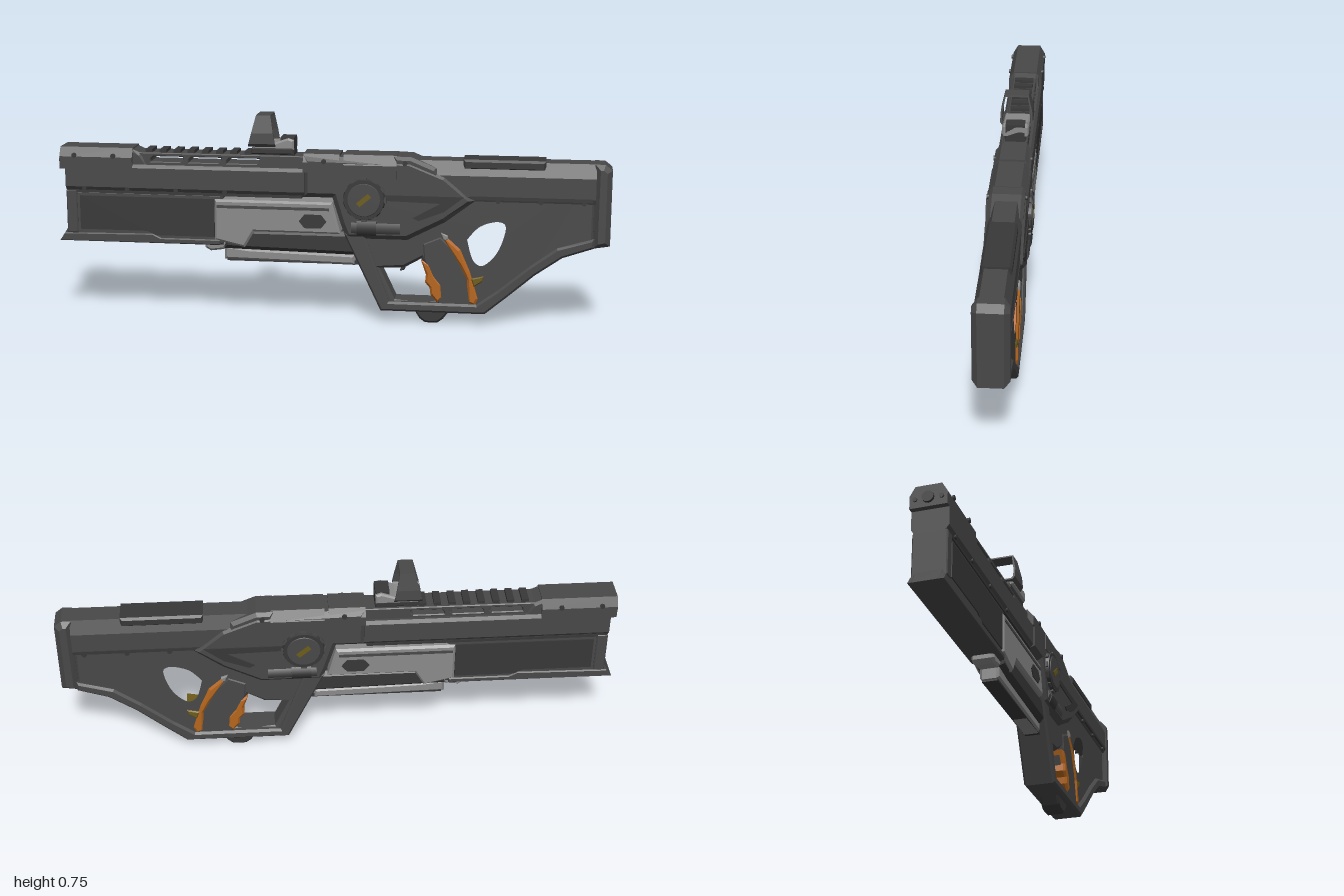
import * as THREE from 'three';

const paint = (name, color, side = THREE.FrontSide) => {
  const m = new THREE.MeshStandardMaterial({ color, side });
  m.name = name;
  return m;
};

export function createModel() {
  const body = paint('charcoal', 0x484848);
  const dark = paint('dark charcoal', 0x383838);
  const grey = paint('light grey', 0x8a8a8a);
  const orange = paint('orange', 0xb5651d);
  const olive = paint('olive', 0x6e5c1a);
  const model = new THREE.Group();

  const add = (name, geo, mat, x = 0, y = 0, z = 0) => {
    const mesh = new THREE.Mesh(geo, mat);
    mesh.name = name;
    mesh.position.set(x, y, z);
    model.add(mesh);
    return mesh;
  };
  const outline = (pts) => new THREE.Shape(pts.map((p) => new THREE.Vector2(...p)));
  const smooth = (pts) => outline(new THREE.SplineCurve(
    [...pts, pts[0]].map((p) => new THREE.Vector2(...p))).getPoints(32).slice(0, -1).map((p) => [p.x, p.y]));

  // Side profile extruded to z = -half..half, chamfered without growing the outline
  const plate = (name, pts, half, mat, bevel = 0.01, holes = []) => {
    const s = outline(pts);
    s.holes.push(...holes);
    const geo = new THREE.ExtrudeGeometry(s, {
      depth: 2 * (half - bevel), bevelEnabled: bevel > 0, bevelSize: bevel, bevelThickness: bevel,
      bevelOffset: -bevel, bevelSegments: 1, curveSegments: 8,
    });
    return add(name, geo.translate(0, 0, bevel - half), mat);
  };
  // Half cross-section [z, y] mirrored and extruded along x
  const beam = (name, half, x0, x1, mat) => {
    const pts = [...half, ...half.slice().reverse().map(([z, y]) => [-z, y])];
    const geo = new THREE.ExtrudeGeometry(outline(pts), { depth: x1 - x0, bevelEnabled: false });
    return add(name, geo.rotateY(Math.PI / 2).translate(x0, 0, 0), mat);
  };
  const box = (name, x0, x1, y0, y1, half, mat) =>
    add(name, new THREE.BoxGeometry(x1 - x0, y1 - y0, 2 * half), mat, (x0 + x1) / 2, (y0 + y1) / 2);
  const rect = (x0, x1, y0, y1) => [[x0, y0], [x1, y0], [x1, y1], [x0, y1]];
  const rod = (name, r, x0, x1, y, z, mat, sides = 12) =>
    add(name, new THREE.CylinderGeometry(r, r, x1 - x0, sides).rotateZ(Math.PI / 2), mat, (x0 + x1) / 2, y, z);
  // Thin plates mirrored on both sides
  const sidePlates = (name, pts, z, mat) => {
    for (const s of [-1, 1]) plate(name, pts, 0.004, mat, 0).position.z = s * z;
  };
  const screws = (list, z) => {
    for (const [x, y] of list) for (const s of [-1, 1])
      add('screw', new THREE.CylinderGeometry(0.009, 0.009, 0.008, 8).rotateX(Math.PI / 2), dark, x, y, s * z);
  };

  // Barrel shroud
  beam('upperShroud', [[0.05, 0.457], [0.064, 0.475], [0.064, 0.548], [0.055, 0.56]], -0.97, -0.09, body);
  beam('muzzleBlock', [[0.064, 0.54], [0.064, 0.585], [0.045, 0.618]], -0.99, -0.72, body);
  plate('muzzleBlockRamp', [[-0.73, 0.55], [-0.66, 0.55], [-0.69, 0.6], [-0.73, 0.618]], 0.052, body);
  rod('muzzleStub', 0.02, -1, -0.96, 0.572, 0, dark);
  for (const s of [-1, 1]) rod('muzzlePin', 0.008, -0.995, -0.96, 0.57, s * 0.045, dark, 8);
  plate('lowerShroud', [[-0.97, 0.46], [-0.97, 0.32], [-1, 0.27], [-0.39, 0.27], [-0.39, 0.46]], 0.054, body);
  sidePlates('shroudPanel', [[-0.92, 0.44], [-0.92, 0.315], [-0.67, 0.315], [-0.64, 0.3], [-0.42, 0.3], [-0.42, 0.44]], 0.054, dark);
  plate('shroudFoot', [[-0.98, 0.3], [-1, 0.27], [-0.4, 0.27], [-0.4, 0.29], [-0.62, 0.29], [-0.65, 0.305]], 0.06, body, 0.004);
  plate('frontPost', [[-0.97, 0.46], [-0.97, 0.3], [-0.93, 0.3], [-0.93, 0.46]], 0.06, body, 0.004);
  box('shroudSeam', -0.965, -0.1, 0.452, 0.462, 0.058, dark);
  screws([[-0.935, 0.59], [-0.79, 0.59]], 0.064);
  screws([[-0.9, 0.468], [-0.74, 0.468], [-0.56, 0.468], [-0.38, 0.468]], 0.061);

  // Vented top rail
  const slots = [-0.655, -0.515, -0.375].map((x) => outline(
    [[x, 0.57], [x + 0.11, 0.57], [x + 0.12, 0.58], [x + 0.12, 0.59], [x + 0.01, 0.59], [x, 0.58]]));
  plate('topRail', rect(-0.7, -0.09, 0.55, 0.603), 0.045, body, 0.003, slots);
  for (let i = 0; i < 11; i++) box('railTooth', -0.675 + i * 0.052, -0.65 + i * 0.052, 0.6, 0.614, 0.036, dark);

  // Reflex sight: base and hollow tapered hood
  plate('sightBase', [[-0.29, 0.605], [-0.13, 0.605], [-0.13, 0.64], [-0.15, 0.65], [-0.28, 0.64]], 0.04, dark, 0.006);
  plate('sightDeck', [[-0.28, 0.625], [-0.13, 0.625], [-0.13, 0.66], [-0.15, 0.667], [-0.2, 0.65], [-0.28, 0.645]], 0.048, grey, 0.006);
  box('sightEmitter', -0.18, -0.13, 0.635, 0.668, 0.035, dark);
  const hood = outline([[-0.05, 0], [0.05, 0], [0.06, 0.012], [0.058, 0.05], [0.044, 0.113], [-0.044, 0.113], [-0.058, 0.05], [-0.06, 0.012]]);
  hood.holes.push(outline([[-0.045, 0.006], [0.045, 0.006], [0.053, 0.014], [0.051, 0.05], [0.04, 0.107], [-0.04, 0.107], [-0.051, 0.05], [-0.053, 0.014]]));
  const hoodGeo = new THREE.ExtrudeGeometry(hood, { depth: 0.1, bevelEnabled: false }).rotateY(Math.PI / 2);
  const hp = hoodGeo.attributes.position;
  for (let i = 0; i < hp.count; i++) {
    const t = hp.getY(i) / 0.113;
    hp.setX(i, (hp.getX(i) - 0.05) * (1 - 0.48 * t) + 0.05 + 0.005 * t);
  }
  hoodGeo.computeVertexNormals();
  add('sightHood', hoodGeo, body, -0.295, 0.635);

  // Receiver with raised top cover
  plate('receiver', [[-0.095, 0.608], [-0.095, 0.457], [0.01, 0.457], [0.04, 0.36], [0.06, 0.31], [0.28, 0.31],
    [0.415, 0.38], [0.52, 0.46], [0.415, 0.55], [0.29, 0.6]], 0.067, body, 0.018);
  beam('rearSightBlock', [[0.067, 0.55], [0.067, 0.585], [0.045, 0.614]], -0.095, 0.035, body);
  beam('topCover', [[0.07, 0.52], [0.07, 0.58], [0.045, 0.614]], 0.05, 0.24, body);
  plate('coverRamp', [[0.23, 0.53], [0.4, 0.53], [0.38, 0.575], [0.29, 0.612], [0.23, 0.612]], 0.062, body, 0.012);
  sidePlates('receiverRidge', [[0.2, 0.475], [0.48, 0.475], [0.41, 0.42], [0.32, 0.385], [0.3, 0.395], [0.4, 0.45], [0.2, 0.455]], 0.067, dark);
  screws([[-0.02, 0.59], [0.27, 0.59]], 0.066);
  for (const s of [-1, 1]) {
    rod('selectorBarrel', 0.032, 0.08, 0.255, 0.352, s * 0.043, body, 8);
    rod('selectorCollar', 0.036, 0.1, 0.17, 0.352, s * 0.043, dark, 8);
  }

  // Round side caps
  for (const s of [-1, 1]) {
    const cap = new THREE.Group();
    cap.name = 'sideCap';
    cap.position.set(0.126, 0.457, s * 0.066);
    cap.rotation.y = s > 0 ? 0 : Math.PI;
    const put = (name, geo, mat, z) => {
      const m = new THREE.Mesh(geo, mat);
      m.name = name;
      m.position.z = z;
      cap.add(m);
      return m;
    };
    put('capRim', new THREE.CylinderGeometry(0.072, 0.079, 0.022, 28).rotateX(Math.PI / 2), dark, 0.003);
    put('capFace', new THREE.CylinderGeometry(0.058, 0.062, 0.006, 28).rotateX(Math.PI / 2), body, 0.014);
    put('capStripe', new THREE.BoxGeometry(0.055, 0.018, 0.003), olive, 0.018).rotation.z = 0.7;
    for (let i = 0; i < 12; i++) {
      const a = i * Math.PI / 6;
      const lug = put('capLug', new THREE.BoxGeometry(0.012, 0.02, 0.016), body, 0.003);
      lug.position.x = 0.074 * Math.cos(a);
      lug.position.y = 0.074 * Math.sin(a);
      lug.rotation.z = a;
    }
    model.add(cap);
  }

  // Pump housing and tubes below the barrel
  plate('pumpHousing', [[-0.42, 0.44], [-0.42, 0.29], [-0.31, 0.265], [-0.275, 0.325], [0.04, 0.325], [0.01, 0.44]], 0.062, grey, 0.008);
  sidePlates('pumpSlot', [[-0.11, 0.37], [-0.09, 0.395], [-0.03, 0.395], [-0.01, 0.37], [-0.03, 0.345], [-0.09, 0.345]], 0.061, dark);
  sidePlates('pumpStep', [[-0.41, 0.42], [-0.41, 0.41], [0, 0.41], [0, 0.42]], 0.061, body);
  plate('pumpTube', [[-0.39, 0.3], [-0.39, 0.255], [0.1, 0.245], [0.1, 0.33], [-0.28, 0.33]], 0.05, dark, 0.015);
  plate('lowerRail', [[-0.39, 0.265], [-0.39, 0.212], [0.09, 0.205], [0.09, 0.245], [-0.3, 0.255]], 0.035, grey, 0.01);
  box('lowerRailKeel', -0.38, 0.11, 0.207, 0.222, 0.028, dark);
  plate('pumpNose', [[-0.46, 0.285], [-0.46, 0.255], [-0.44, 0.243], [-0.39, 0.25], [-0.36, 0.3], [-0.42, 0.3]], 0.04, grey, 0.008);

  // Skeleton stock with trigger opening and thumbhole
  const triggerHole = outline([[0.18, 0.2], [0.235, 0.085], [0.33, 0.075], [0.385, 0.085], [0.35, 0.17], [0.33, 0.24], [0.27, 0.205]]);
  const thumbHole = smooth([[0.48, 0.32], [0.53, 0.375], [0.6, 0.397], [0.64, 0.375], [0.63, 0.31], [0.6, 0.25], [0.55, 0.21], [0.505, 0.235]]);
  plate('stockFrame', [[0.06, 0.31], [0.1, 0.45], [0.28, 0.585], [0.94, 0.585], [0.94, 0.305], [0.83, 0.27], [0.735, 0.2],
    [0.635, 0.115], [0.56, 0.05], [0.19, 0.05]], 0.046, body, 0.012, [triggerHole, thumbHole]);
  plate('guardRim', [[0.05, 0.33], [0.185, 0.045], [0.56, 0.045], [0.635, 0.108], [0.735, 0.195], [0.83, 0.262], [0.94, 0.3],
    [0.94, 0.335], [0.81, 0.297], [0.715, 0.227], [0.605, 0.135], [0.53, 0.08], [0.215, 0.08], [0.125, 0.33]], 0.058, body, 0.008);
  beam('stockBeam', [[0.05, 0.458], [0.058, 0.475], [0.058, 0.55], [0.038, 0.6]], 0.3, 0.94, body);
  plate('cheekPlate', rect(0.475, 0.765, 0.57, 0.607), 0.051, dark, 0.008);
  sidePlates('stockGroove', [[0.5, 0.478], [0.93, 0.478], [0.93, 0.466], [0.51, 0.466]], 0.057, dark);
  screws([[0.6, 0.462], [0.75, 0.462], [0.9, 0.462]], 0.056);
  plate('buttPad', [[0.935, 0.6], [0.97, 0.6], [0.995, 0.58], [0.995, 0.308], [0.935, 0.298]], 0.06, body, 0.018);
  plate('guardFoot', [[0.3, 0.055], [0.325, 0.015], [0.345, 0], [0.39, 0], [0.41, 0.015], [0.44, 0.055]], 0.035, dark, 0.008);

  // Grip, inserts and trigger
  plate('grip', [[0.33, 0.3], [0.4, 0.33], [0.45, 0.28], [0.49, 0.19], [0.52, 0.07], [0.39, 0.07], [0.36, 0.16], [0.335, 0.24]], 0.05, body);
  plate('gripFront', [[0.33, 0.235], [0.36, 0.225], [0.38, 0.18], [0.405, 0.15], [0.41, 0.1], [0.39, 0.08], [0.365, 0.11],
    [0.362, 0.135], [0.345, 0.155], [0.348, 0.185]], 0.053, orange, 0.008);
  plate('gripBack', [[0.4, 0.335], [0.42, 0.325], [0.47, 0.28], [0.505, 0.2], [0.535, 0.1], [0.525, 0.075], [0.5, 0.085],
    [0.495, 0.17], [0.47, 0.22], [0.44, 0.265]], 0.054, orange, 0.008);
  plate('gripTab', [[0.4, 0.34], [0.425, 0.33], [0.425, 0.315], [0.41, 0.315]], 0.055, grey, 0.003);
  plate('thumbRest', [[0.51, 0.175], [0.555, 0.185], [0.55, 0.165], [0.52, 0.145]], 0.053, olive, 0.004);
  plate('trigger', [[0.25, 0.25], [0.3, 0.25], [0.28, 0.225], [0.268, 0.19], [0.25, 0.185], [0.262, 0.215]], 0.014, dark, 0.003);

  return model;
}
